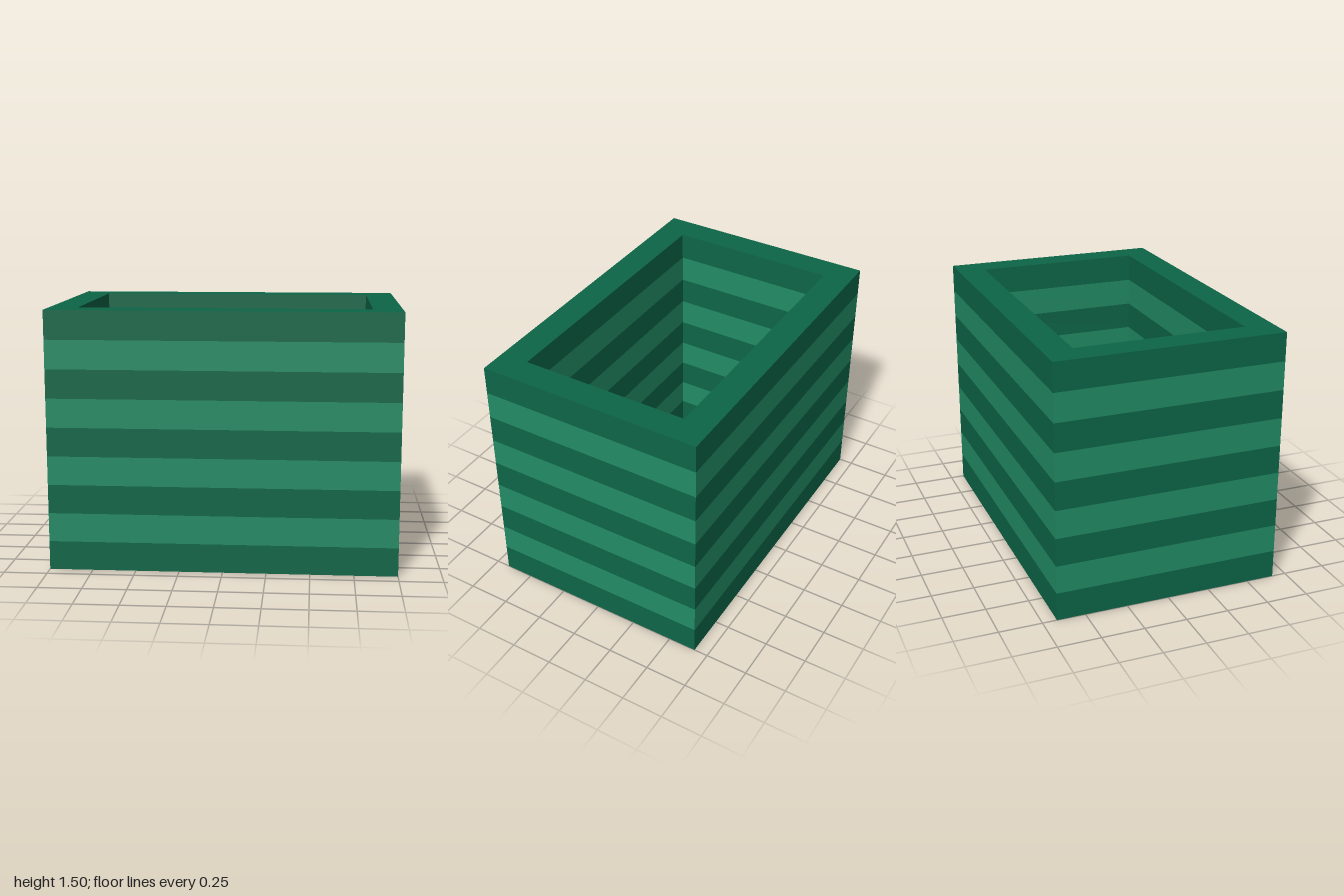
import * as THREE from 'three';

const WIDTH = 2, DEPTH = 4 / 3, WALL = 1 / 6;
const LAYERS = 9, LAYER_HEIGHT = 1 / 6;

// Rectangle centred on the origin, as a list of corners
function rectangle(width, depth) {
  const x = width / 2, y = depth / 2;
  return [[-x, -y], [x, -y], [x, y], [-x, y]].map(([a, b]) => new THREE.Vector2(a, b));
}

// One rectangular ring, standing on y = 0
function ringGeometry() {
  const shape = new THREE.Shape(rectangle(WIDTH, DEPTH));
  shape.holes.push(new THREE.Path(rectangle(WIDTH - 2 * WALL, DEPTH - 2 * WALL).reverse()));
  const geometry = new THREE.ExtrudeGeometry(shape, { depth: LAYER_HEIGHT, bevelEnabled: false });
  return geometry.rotateX(-Math.PI / 2);
}

export function createModel() {
  const darkGreen = new THREE.MeshStandardMaterial({ color: 0x0d6648 });
  darkGreen.name = 'darkGreen';
  const lightGreen = new THREE.MeshStandardMaterial({ color: 0x238c66 });
  lightGreen.name = 'lightGreen';

  const model = new THREE.Group();
  model.name = 'stripedOpenBox';

  // Stacked wall rings in alternating colours, open at top and bottom
  const geometry = ringGeometry();
  for (let i = 0; i < LAYERS; i++) {
    const dark = i % 2 === 0;
    const ring = new THREE.Mesh(geometry, dark ? darkGreen : lightGreen);
    ring.name = `${dark ? 'dark' : 'light'}WallLayer${i + 1}`;
    ring.position.y = i * LAYER_HEIGHT;
    model.add(ring);
  }
  return model;
}
